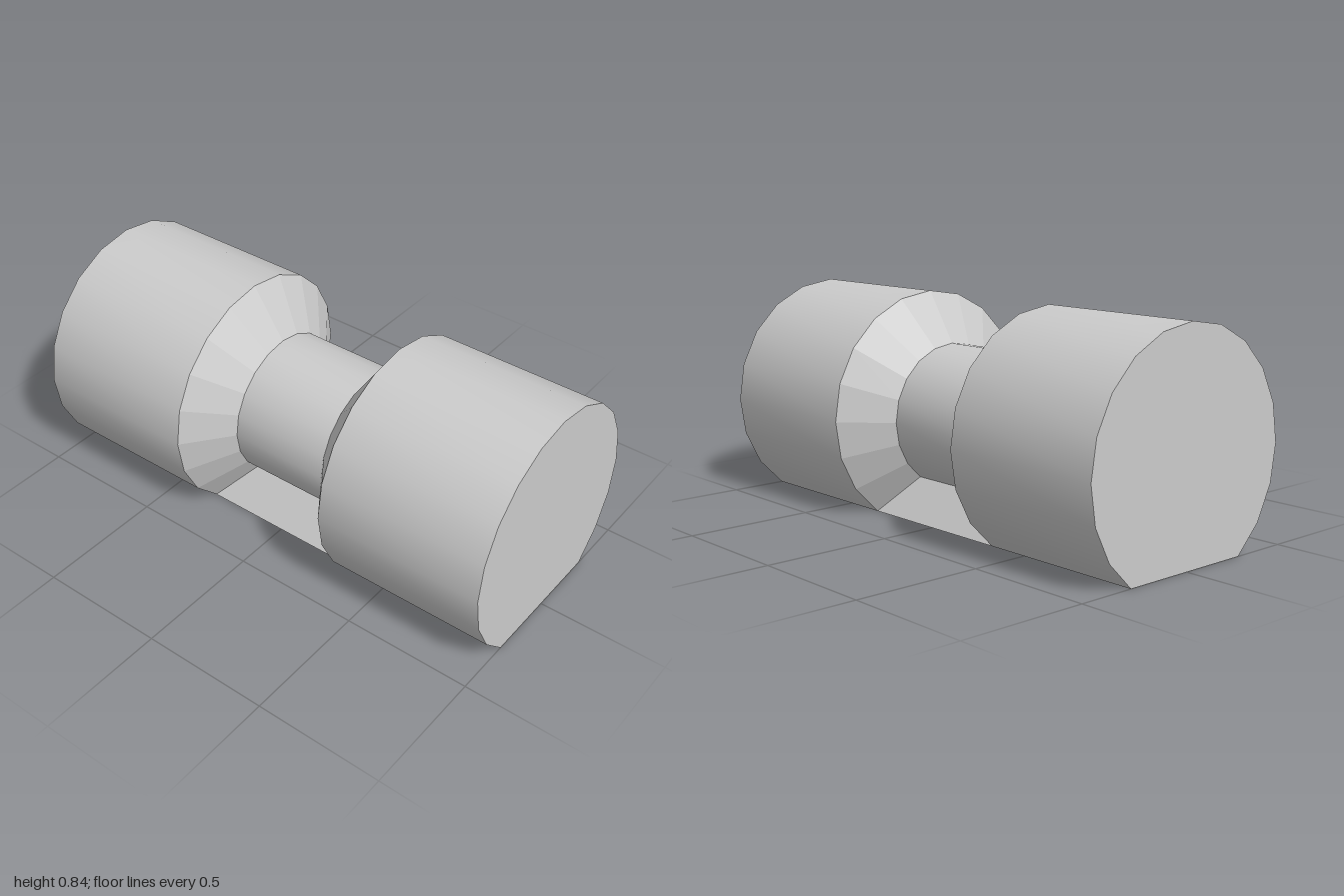
import * as THREE from 'three';

const R = 0.467, CENTRE_Y = 0.378;   // barrel radius and axis height
const STEP = Math.PI / 10, HALF = 8; // 20-sided section, open across the bottom chord
const END_X = 1, RIM_X = 0.333, NECK_X = 0.202;
const NECK_SCALE = 0.6, PIVOT_Y = 0.357;

// Point k of the section, scaled about the pivot height
function sectionPoint(k, scale) {
  const y = CENTRE_Y + R * Math.cos(k * STEP);
  return { y: PIVOT_Y + (y - PIVOT_Y) * scale, z: R * Math.sin(k * STEP) * scale };
}

// Indexed surface from positions and triangles
function surface(positions, indices) {
  const g = new THREE.BufferGeometry();
  g.setAttribute('position', new THREE.Float32BufferAttribute(positions, 3));
  g.setIndex(indices);
  g.computeVertexNormals();
  return g;
}

// Open shell between two sections, xa < xb
function shell(xa, scaleA, xb, scaleB) {
  const pos = [], idx = [];
  for (let k = -HALF; k <= HALF; k++) {
    const a = sectionPoint(k, scaleA), b = sectionPoint(k, scaleB);
    pos.push(xa, a.y, a.z, xb, b.y, b.z);
  }
  for (let i = 0; i < HALF * 2; i++) {
    const a = 2 * i, b = a + 1, a2 = a + 2, b2 = a + 3;
    idx.push(a, a2, b2, a, b2, b);
  }
  return surface(pos, idx);
}

export function createModel() {
  const group = new THREE.Group();
  const smooth = new THREE.MeshStandardMaterial({ color: 0xcccccc, side: THREE.DoubleSide });
  const flat = new THREE.MeshStandardMaterial({ color: 0xcccccc, side: THREE.DoubleSide, flatShading: true });
  const add = (name, geometry, material) => {
    const mesh = new THREE.Mesh(geometry, material);
    mesh.name = name;
    group.add(mesh);
    return mesh;
  };

  // Barrels and tapered shoulders
  add('rightBarrel', shell(-END_X, 1, -RIM_X, 1), smooth);
  add('leftBarrel', shell(RIM_X, 1, END_X, 1), smooth);
  add('rightShoulder', shell(-RIM_X, 1, -NECK_X, NECK_SCALE), flat);
  add('leftShoulder', shell(NECK_X, NECK_SCALE, RIM_X, 1), flat);

  // Narrow neck in the middle
  add('neck', shell(-NECK_X, NECK_SCALE, NECK_X, NECK_SCALE), smooth);

  // Flat end caps
  const outline = [];
  for (let k = HALF; k >= -HALF; k--) {
    const p = sectionPoint(k, 1);
    outline.push(new THREE.Vector2(p.z, p.y));
  }
  for (const [name, side] of [['leftCap', 1], ['rightCap', -1]]) {
    const cap = new THREE.ShapeGeometry(new THREE.Shape(outline));
    cap.rotateY(side * Math.PI / 2);
    cap.translate(side * END_X, 0, 0);
    add(name, cap, flat);
  }

  // Sloping skirts from the bottom edges up to the neck
  const low = sectionPoint(HALF, 1), high = sectionPoint(HALF, NECK_SCALE);
  const skirt = surface([
    -RIM_X, low.y, low.z, RIM_X, low.y, low.z,
    NECK_X, high.y, high.z, -NECK_X, high.y, high.z,
  ], [0, 1, 2, 0, 2, 3]);
  add('frontSkirt', skirt, flat);
  add('backSkirt', skirt, flat).rotation.y = Math.PI;

  return group;
}
